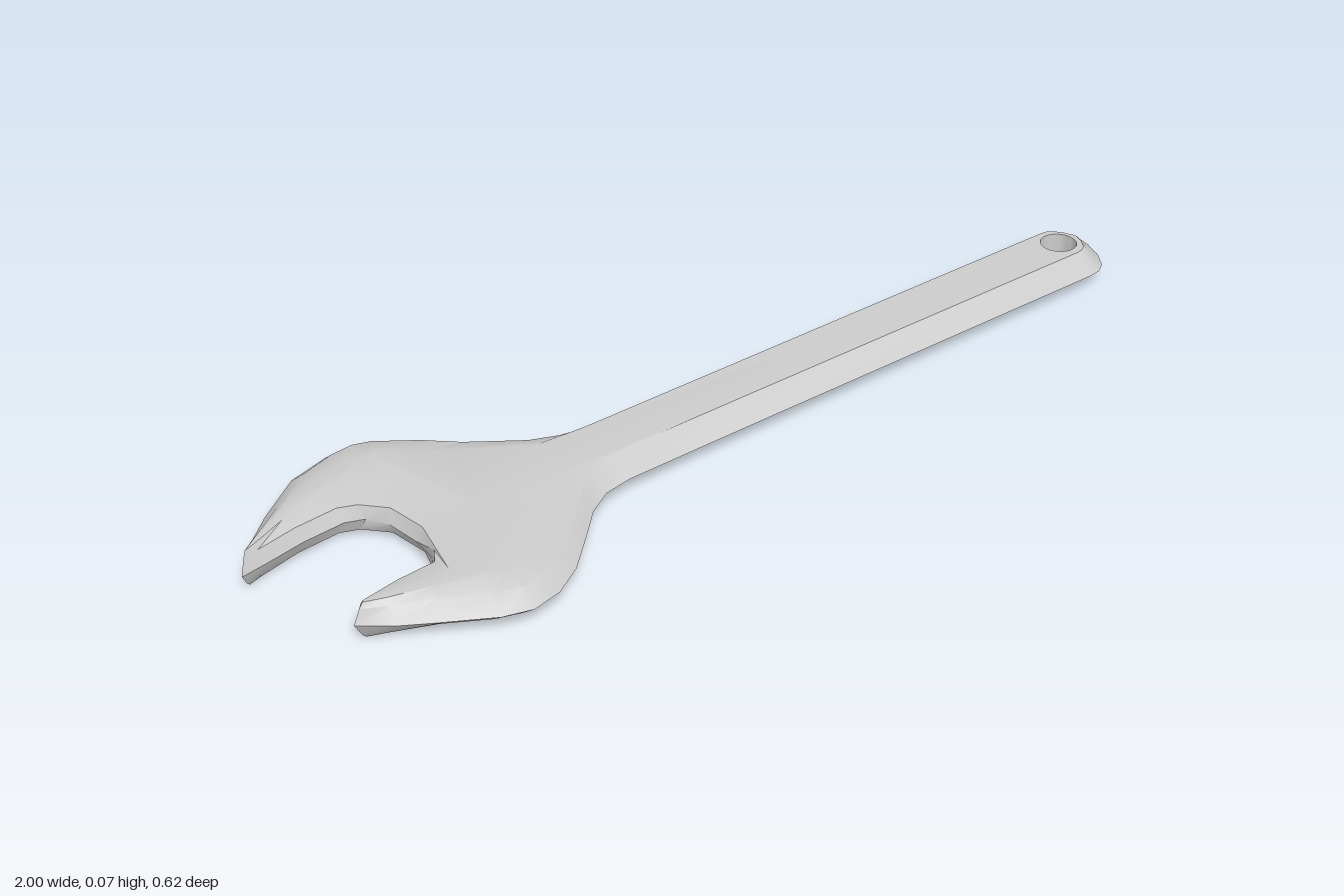
import * as THREE from 'three';
import { toCreasedNormals } from 'three/addons/utils/BufferGeometryUtils.js';

const MID = 0.0365; // half the thickness
const V = (p) => new THREE.Vector2(p[0], p[1]);

// Widest outline in plan (x, z): long jaw, neck, handle, short jaw
const outside = [
  [-1, -0.077], [-0.955, -0.14], [-0.885, -0.21], [-0.795, -0.28], [-0.715, -0.305], [-0.67, -0.31],
  [-0.62, -0.295], [-0.54, -0.237], [-0.475, -0.173], [-0.405, -0.12], [-0.35, -0.097], [-0.3, -0.088],
  [0, -0.09], [0.45, -0.093], [0.9, -0.095], [0.93, -0.092], [0.957, -0.075], [0.982, -0.04], [1, 0.004],
  [0.982, 0.05], [0.957, 0.085], [0.93, 0.101], [0.9, 0.104], [0.45, 0.102], [0, 0.1], [-0.31, 0.1],
  [-0.37, 0.11], [-0.42, 0.14], [-0.475, 0.195], [-0.54, 0.258], [-0.6, 0.295], [-0.66, 0.307],
  [-0.715, 0.29], [-0.795, 0.243], [-0.865, 0.2], [-0.917, 0.157],
].map(V);
const mouth = [
  [-0.9, 0.137], [-0.81, 0.112], [-0.735, 0.108], [-0.718, 0.08], [-0.715, 0.02], [-0.725, -0.05],
  [-0.75, -0.092], [-0.785, -0.106], [-0.87, -0.1], [-0.95, -0.085],
].map(V);

// Ridge lines that the faces rise towards
const jawSpine = [
  [-0.975, -0.1], [-0.87, -0.155], [-0.77, -0.2], [-0.67, -0.2], [-0.58, -0.12], [-0.55, 0],
  [-0.58, 0.13], [-0.66, 0.2], [-0.78, 0.175], [-0.89, 0.152],
].map(V);
const handleSpine = [[-0.55, 0], [-0.3, 0.005], [0.905, 0.004]].map(V);

function nearestOnSpine(p) {
  let best = null;
  for (const line of [jawSpine, handleSpine]) {
    for (let i = 0; i + 1 < line.length; i++) {
      const d = line[i + 1].clone().sub(line[i]);
      const t = THREE.MathUtils.clamp(p.clone().sub(line[i]).dot(d) / d.lengthSq(), 0, 1);
      const q = line[i].clone().addScaledVector(d, t);
      if (!best || q.distanceTo(p) < best.distanceTo(p)) best = q;
    }
  }
  return best;
}

function wrenchGeometry() {
  const outline = [...outside, ...mouth];
  const bevelRing = [], crownRing = [];
  outline.forEach((p, i) => {
    const q = nearestOnSpine(p);
    const bevel = i < outside.length ? 0.033 : 0.014;
    bevelRing.push(p.clone().lerp(q, Math.min(0.5, bevel / p.distanceTo(q))));
    const frac = THREE.MathUtils.lerp(0.8, 0.45, THREE.MathUtils.smoothstep(p.x, -0.6, -0.3));
    crownRing.push(p.clone().lerp(q, frac));
  });

  const pos = [];
  const put = (p, y) => pos.push(p.x, y, p.y);
  const band = (a, ya, b, yb) => a.forEach((_, i) => {
    const j = (i + 1) % a.length;
    put(a[i], ya); put(b[i], yb); put(a[j], ya);
    put(b[i], yb); put(b[j], yb); put(a[j], ya);
  });

  // Bevelled rim, bottom to top
  const layers = [
    [crownRing, 0], [bevelRing, MID - 0.027], [outline, MID],
    [bevelRing, MID + 0.027], [crownRing, 2 * MID],
  ];
  for (let i = 0; i < 4; i++) band(...layers[i], ...layers[i + 1]);

  // Hanging hole through the handle end
  const hole = [];
  for (let i = 0; i < 24; i++) {
    const a = -i / 24 * Math.PI * 2;
    hole.push(new THREE.Vector2(0.904 + 0.039 * Math.cos(a), 0.003 + 0.039 * Math.sin(a)));
  }
  band(hole, 0, hole, 2 * MID);

  // Top and bottom faces
  const pts = [...crownRing, ...hole];
  for (const f of THREE.ShapeUtils.triangulateShape(crownRing, [hole])) {
    let [a, b, c] = f.map((k) => pts[k]);
    if (b.clone().sub(a).cross(c.clone().sub(a)) > 0) [b, c] = [c, b];
    put(a, 2 * MID); put(b, 2 * MID); put(c, 2 * MID);
    put(a, 0); put(c, 0); put(b, 0);
  }

  const geo = new THREE.BufferGeometry();
  geo.setAttribute('position', new THREE.Float32BufferAttribute(pos, 3));
  return toCreasedNormals(geo, THREE.MathUtils.degToRad(30));
}

export function createModel() {
  const group = new THREE.Group();
  group.name = 'openEndedWrench';
  const mesh = new THREE.Mesh(wrenchGeometry(), new THREE.MeshStandardMaterial({ color: 0xcccccc }));
  mesh.name = 'wrenchBody';
  group.add(mesh);
  return group;
}
